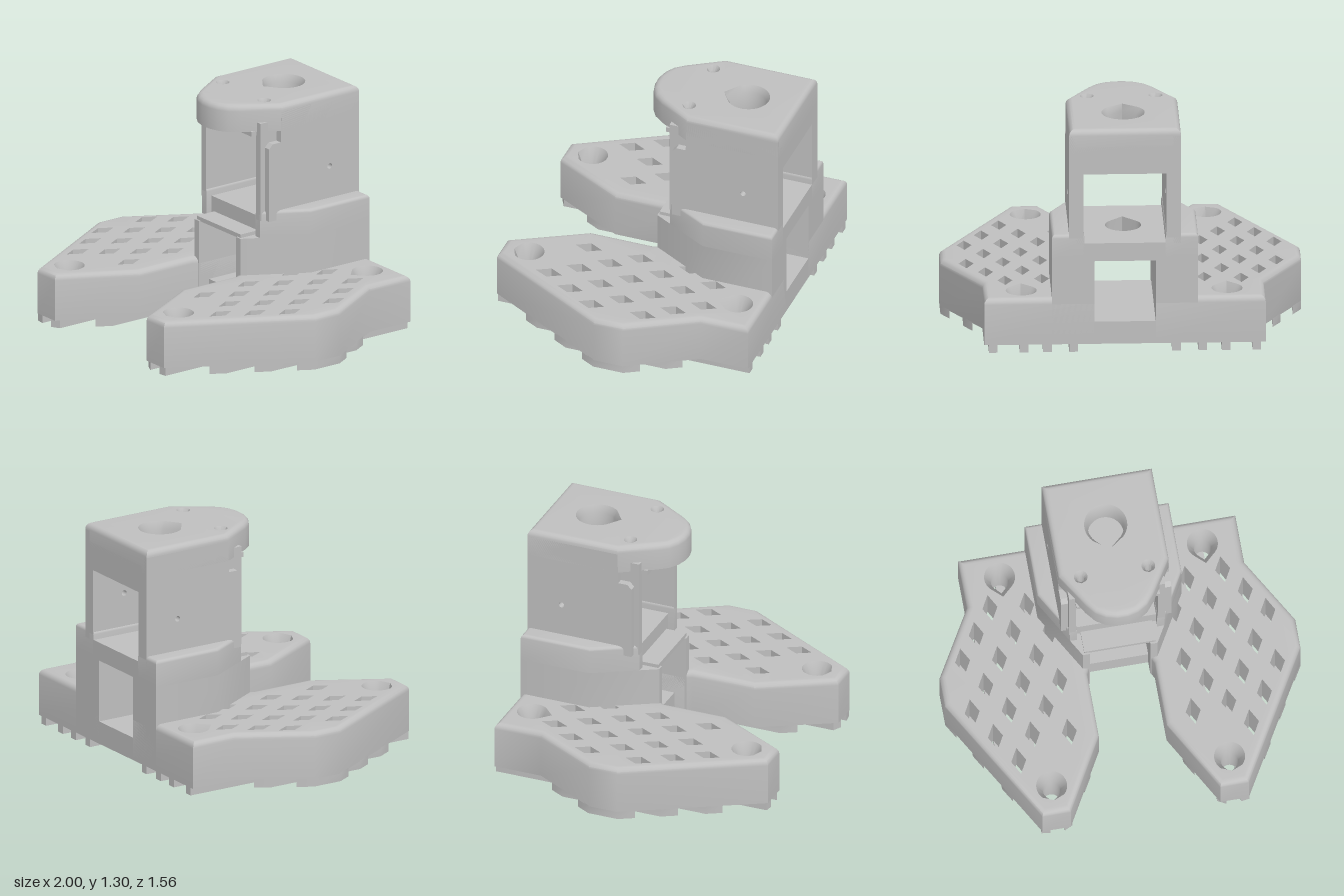
import * as THREE from 'three';
import { toCreasedNormals } from 'three/addons/utils/BufferGeometryUtils.js';

const grey = new THREE.MeshStandardMaterial({ color: 0xbfbfbf });
grey.name = 'light grey';

// Wind a plan outline of [x, z] points as seen from above
function wind(pts, clockwise) {
  const v = pts.map(([x, z]) => new THREE.Vector2(x, -z));
  return THREE.ShapeUtils.isClockWise(v) === clockwise ? v : v.reverse();
}

// Move an outline inwards by d
function inset(ring, d) {
  const n = ring.length;
  const normal = (a, b) => new THREE.Vector2(b.y - a.y, a.x - b.x).normalize();
  return ring.map((p, i) => {
    const n1 = normal(ring[(i + n - 1) % n], p), n2 = normal(p, ring[(i + 1) % n]);
    return p.clone().addScaledVector(n1.clone().add(n2), -d / (1 + n1.dot(n2)));
  });
}

// Upright prism with a rounded top edge and optional countersunk holes
function prism(pts, y0, y1, r = 0, holes = []) {
  const pos = [];
  const put = (p, y) => pos.push(p.x, y, -p.y);
  const wall = (a, ya, b, yb) => a.forEach((p, i) => {
    const j = (i + 1) % a.length;
    put(p, ya); put(a[j], ya); put(b[j], yb);
    put(p, ya); put(b[j], yb); put(b[i], yb);
  });
  const cap = (ring, inner, y, up) => {
    const all = [ring, ...inner].flat();
    for (const [a, b, c] of THREE.ShapeUtils.triangulateShape(ring, inner)) {
      const ccw = !THREE.ShapeUtils.isClockWise([all[a], all[b], all[c]]);
      for (const k of ccw === up ? [a, b, c] : [a, c, b]) put(all[k], y);
    }
  };
  const base = wind(pts, false);
  let last = base, y = y1 - r;
  wall(base, y0, base, y);
  for (let k = 1; r > 0 && k <= 4; k++) {
    const t = k * Math.PI / 8, next = inset(base, r * (1 - Math.cos(t)));
    const ny = y1 - r + r * Math.sin(t);
    wall(last, y, next, ny);
    last = next; y = ny;
  }
  const tops = holes.map(h => wind(h.top, true));
  const bots = holes.map(h => wind(h.bot || h.top, true));
  holes.forEach((h, i) => {
    const yd = y1 - (h.depth || 0);
    wall(bots[i], y0, bots[i], yd);
    if (h.depth) wall(bots[i], yd, tops[i], y1);
  });
  cap(last, tops, y1, true);
  cap(base, bots, y0, false);
  const g = new THREE.BufferGeometry();
  g.setAttribute('position', new THREE.Float32BufferAttribute(pos, 3));
  return toCreasedNormals(g, 0.6);
}

// Round hole whose point, if any, faces the front
function drop(cx, cz, r, tip = 1.41) {
  const pts = [[cx, cz + r * tip]];
  for (let i = 0; i <= 24; i++) {
    const a = Math.PI * (0.75 + 1.5 * i / 24);
    pts.push([cx + r * Math.cos(a), cz + r * Math.sin(a)]);
  }
  return pts;
}

const WING = [[0.17, -0.78], [0.78, -0.78], [0.78, -0.5], [1, -0.12], [1, 0.05], [0.58, 0.78],
  [0.42, 0.78], [0.19, 0.37], [0.19, 0], [0.17, -0.04]];
const SCREWS = [[0.57, -0.64, 1.36], [0.5, 0.62, 1]];

// Front and back limits of the wing at a given x
function span(x) {
  const zs = [];
  WING.forEach(([ax, az], i) => {
    const [bx, bz] = WING[(i + 1) % WING.length];
    if ((ax > x) !== (bx > x)) zs.push(az + (bz - az) * (x - ax) / (bx - ax));
  });
  return [Math.min(...zs), Math.max(...zs)];
}

const inWing = ([x, z]) => {
  if (x < 0.2 || x > 0.99) return false;
  const [a, b] = span(x);
  return z > a && z < b;
};

// Staggered diamond openings that clear the edges, screws and tower
function diamonds() {
  const list = [];
  const rhomb = (x, z, s) => [[x + 0.042 * s, z], [x, z + 0.077 * s], [x - 0.042 * s, z], [x, z - 0.077 * s]];
  for (let k = -2; k <= 5; k++) for (let m = -6; m <= 6; m++) {
    const x = 0.45 + 0.102 * k, z = -0.45 + 0.142 * k + 0.305 * m;
    const clear = SCREWS.every(s => Math.hypot(x - s[0], z - s[1]) > 0.17);
    const outside = z > 0.03 || x > 0.39 - 0.577 * Math.max(0, z + 0.37);
    if (clear && outside && rhomb(x, z, 1.45).every(inWing)) list.push(rhomb(x, z, 1));
  }
  return list;
}

export function createModel() {
  const model = new THREE.Group();
  const add = (name, geo) => {
    const m = new THREE.Mesh(geo, grey);
    m.name = name;
    model.add(m);
    return m;
  };
  const box = (name, x0, x1, y0, y1, z0, z1) =>
    add(name, new THREE.BoxGeometry(Math.abs(x1 - x0), y1 - y0, z1 - z0))
      .position.set((x0 + x1) / 2, (y0 + y1) / 2, (z0 + z1) / 2);
  const openings = diamonds();

  for (const s of [1, -1]) {
    const side = s > 0 ? 'left' : 'right';
    const flip = pts => pts.map(([x, z]) => [s * x, z]);

    // Wing plate with lattice openings and countersunk screw holes
    const holes = openings.map(d => ({ top: flip(d) }));
    for (const [x, z, tip] of SCREWS)
      holes.push({ top: drop(s * x, z, 0.086, tip), bot: drop(s * x, z, 0.048), depth: 0.08 });
    add(side + 'Wing', prism(flip(WING), 0.045, 0.315, 0.035, holes));

    // Ribs under the wing
    for (const x of [0.285, 0.43, 0.56, 0.73, 0.855, 0.974]) {
      const a = x - 0.024, b = x + 0.024, [a0, a1] = span(a), [b0, b1] = span(b);
      add(side + 'Rib', prism(flip([[a, a0], [b, b0], [b, b1], [a, a1]]), 0, 0.05));
    }

    // Lower tower walls and the shoulder above them
    add(side + 'LowerWall', prism(flip([[0.17, -0.78], [0.405, -0.78], [0.405, -0.37], [0.21, -0.03],
      [0.17, -0.03]]), 0.045, 0.53));
    add(side + 'Shoulder', prism(flip([[0.225, -0.78], [0.405, -0.78], [0.405, -0.37], [0.265, -0.125],
      [0.225, -0.125]]), 0.53, 0.685, 0.02));

    // Upper side wall with a stepped front edge and a pin hole
    const profile = new THREE.Shape([[0.78, 0.63], [0.78, 1.2], [0.125, 1.2], [0.125, 1.08], [0.125, 0.63]]
      .map(p => new THREE.Vector2(...p)));
    profile.holes.push(new THREE.Path().absarc(0.575, 0.87, 0.016, 0, Math.PI * 2));
    const inner = new THREE.ExtrudeGeometry(profile, { depth: 0.04, bevelEnabled: false });
    const rim = new THREE.Shape([[0.78, 0.63], [0.78, 1.26], [0.24, 1.26], [0.235, 1.08], [0.18, 1.08],
      [0.155, 1.055], [0.155, 0.63]].map(p => new THREE.Vector2(...p)));
    rim.holes.push(new THREE.Path().absarc(0.575, 0.87, 0.016, 0, Math.PI * 2));
    const outer = new THREE.ExtrudeGeometry(rim, { depth: 0.041, bevelEnabled: false });
    for (const [name, geo, x] of [['InnerWall', inner, 0.23], ['OuterWall', outer, 0.269]]) {
      const m = add(side + name, geo);
      m.rotation.y = Math.PI / 2; // profile runs towards the back
      m.position.x = s > 0 ? x : -x - (name === 'InnerWall' ? 0.04 : 0.041);
    }

    // Lip under the roof
    box(side + 'RoofLip', s * 0.12, s * 0.235, 1.122, 1.15, -0.2, -0.09);
  }

  // Floor, middle shelf and front ledge between the walls
  box('floor', -0.17, 0.17, 0.045, 0.175, -0.78, -0.1);
  add('middleShelf', prism([[-0.23, -0.78], [0.23, -0.78], [0.23, -0.16], [-0.23, -0.16]],
    0.53, 0.635, 0, [{ top: drop(0, -0.48, 0.1) }]));
  box('frontLedge', -0.2, 0.2, 0.525, 0.55, -0.165, -0.04);

  // Small catch under the shelf
  box('catchStem', -0.14, -0.07, 0.46, 0.535, -0.5, -0.4);
  box('catchFoot', -0.165, -0.005, 0.44, 0.465, -0.5, -0.4);
  box('catchTop', -0.165, -0.005, 0.505, 0.535, -0.5, -0.4);

  // Lintel over the back window
  box('backLintel', -0.25, 0.25, 1.04, 1.2, -0.78, -0.7);

  // Roof with a bowed front, a large pointed hole and two small screw holes
  const roof = [[0.31, -0.78], [0.31, -0.24], [0.19, -0.05], [0.145, 0.005], [0.09, 0.038], [0.03, 0.053]];
  const outline = [...roof, ...roof.map(([x, z]) => [-x, z]).reverse()];
  const roofHoles = [{ top: drop(0, -0.49, 0.12, 1.2), bot: drop(0, -0.49, 0.1), depth: 0.04 }];
  for (const s of [1, -1])
    roofHoles.push({ top: drop(s * 0.19, -0.21, 0.038, 1), bot: drop(s * 0.19, -0.21, 0.02, 1), depth: 0.03 });
  add('roof', prism(outline, 1.145, 1.3, 0.035, roofHoles));

  return model;
}
